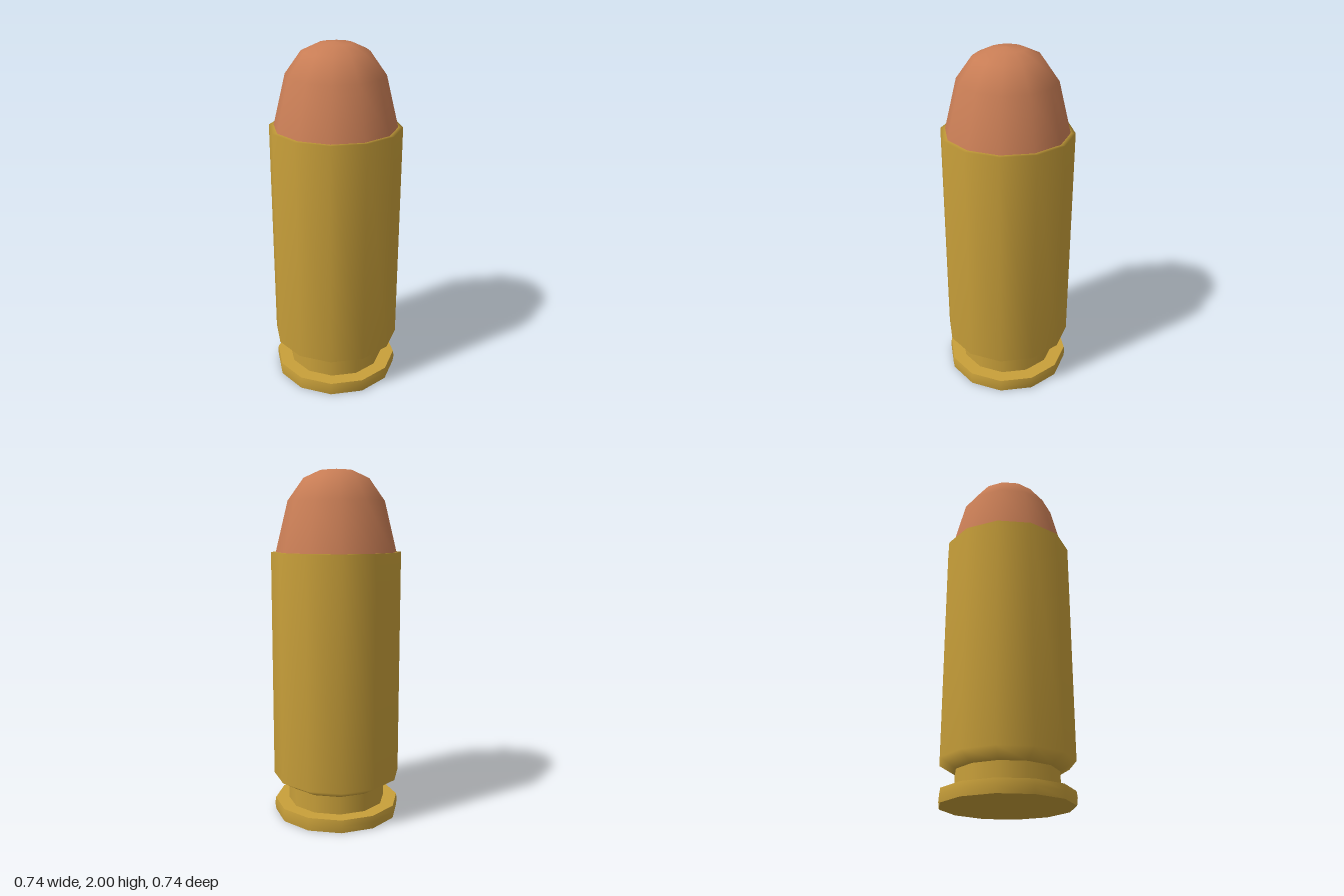
import * as THREE from 'three';

const SIDES = 12;
const BRASS = 0xc9a03a;
const COPPER = 0xc87d55;

// Revolve a bottom-to-top profile of [radius, height] pairs
function turned(name, color, profile) {
  const points = profile.map(([r, y]) => new THREE.Vector2(r, y));
  const mesh = new THREE.Mesh(
    new THREE.LatheGeometry(points, SIDES),
    new THREE.MeshStandardMaterial({ color })
  );
  mesh.name = name;
  return mesh;
}

export function createModel() {
  const model = new THREE.Group();
  model.name = 'cartridge';

  // Extractor rim: flat underside, slightly bevelled edge, flat top
  const rim = new THREE.Group();
  rim.name = 'rim';
  rim.add(
    turned('rimBase', BRASS, [[0, 0], [0.365, 0]]),
    turned('rimEdge', BRASS, [[0.365, 0], [0.37, 0.04], [0.365, 0.075]]),
    turned('rimTop', BRASS, [[0.365, 0.075], [0.285, 0.075]])
  );
  model.add(rim);

  // Extractor groove
  model.add(turned('groove', BRASS, [[0.285, 0.075], [0.285, 0.2]]));

  // Case body with tapered foot and a mouth lip closing in on the bullet
  model.add(turned('caseBody', BRASS, [
    [0.285, 0.18], [0.372, 0.233], [0.372, 1.54], [0.335, 1.54],
  ]));

  // Rounded bullet
  model.add(turned('bullet', COPPER, [
    [0.345, 1.54], [0.275, 1.825], [0.185, 1.95], [0.095, 1.991], [0, 2],
  ]));

  return model;
}
